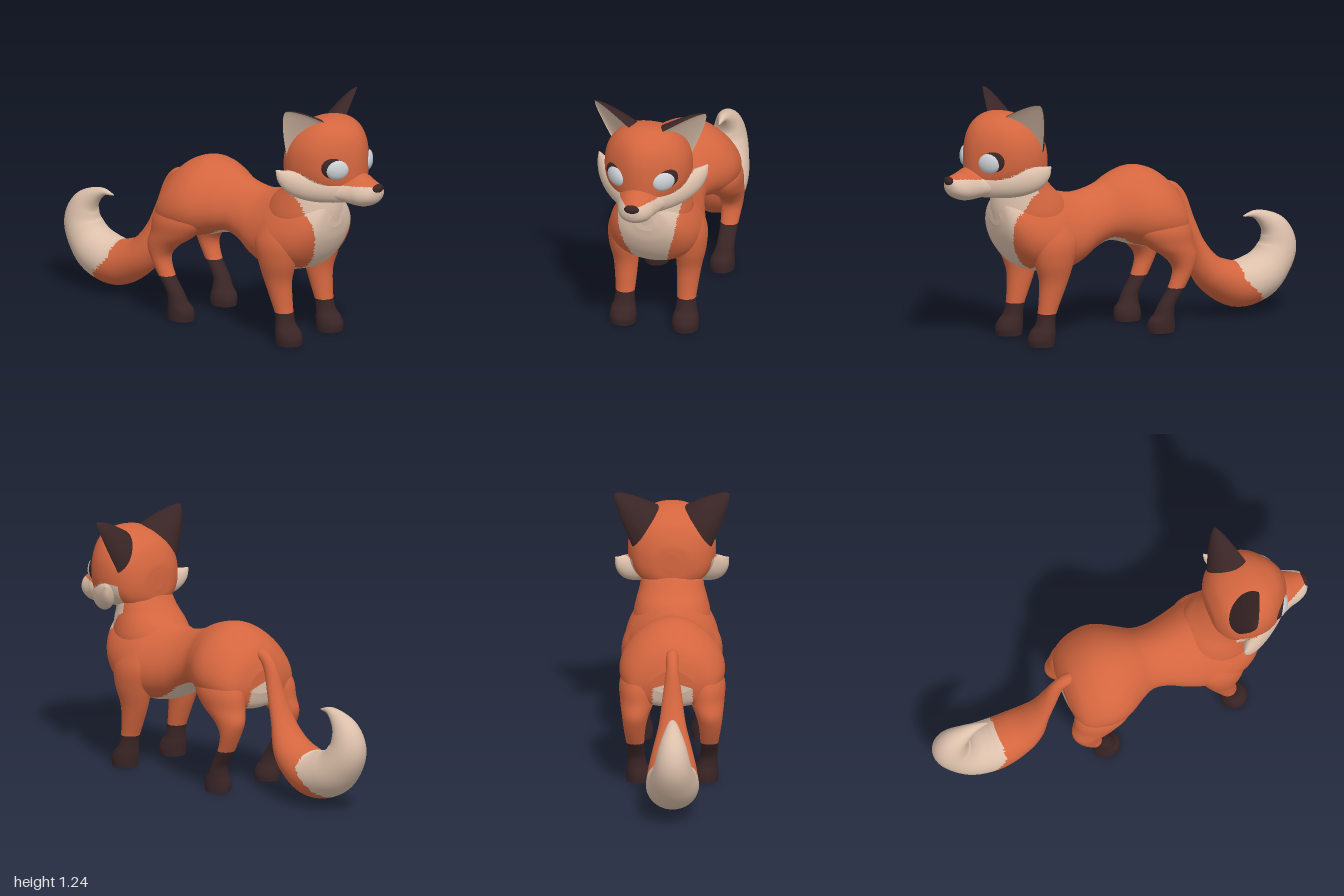
import * as THREE from 'three';

const V = (x, y, z) => new THREE.Vector3(x, y, z);
const mat = (name, color) => {
  const m = new THREE.MeshStandardMaterial({ color });
  m.name = name;
  return m;
};

// Grid surface: fn(u, v) gives points; pick(point) gives a material index for each face.
function surface(name, fn, nu, nv, { closed = true, mirror = 1, mats, pick = () => 0 }) {
  const pos = [], faces = mats.map(() => []);
  const cols = closed ? nu : nu + 1;
  const add = (p) => pos.push(p.x * mirror, p.y, p.z) / 3 - 1;
  const at = (i) => V(pos[i * 3], pos[i * 3 + 1], pos[i * 3 + 2]);
  const tri = (a, b, c) => {
    const mid = at(a).add(at(b)).add(at(c)).divideScalar(3);
    faces[pick(mid)].push(...(mirror > 0 ? [a, b, c] : [a, c, b]));
  };
  for (let i = 0; i <= nv; i++) for (let j = 0; j < cols; j++) add(fn(j / nu, i / nv));
  for (let i = 0; i < nv; i++) for (let j = 0; j < nu; j++) {
    const k = (j + 1) % cols, r = i * cols, s = r + cols;
    tri(r + j, r + k, s + k);
    tri(r + j, s + k, s + j);
  }
  if (closed) for (const end of [0, 1]) {
    const ring = [], centre = V(0, 0, 0);
    for (let j = 0; j < nu; j++) {
      const p = fn(j / nu, end);
      centre.addScaledVector(p, 1 / nu);
      ring.push(add(p));
    }
    const c = add(centre);
    ring.forEach((a, j) => {
      const b = ring[(j + 1) % nu];
      end ? tri(a, b, c) : tri(b, a, c);
    });
  }
  const geo = new THREE.BufferGeometry();
  geo.setAttribute('position', new THREE.Float32BufferAttribute(pos, 3));
  geo.setIndex(faces.flat());
  let start = 0;
  faces.forEach((f, i) => { if (f.length) geo.addGroup(start, f.length, i); start += f.length; });
  geo.computeVertexNormals();
  const mesh = new THREE.Mesh(geo, mats.length > 1 ? mats : mats[0]);
  mesh.name = name;
  return mesh;
}

// Smooth loft through rings [x, y, z, half size along ref, half size across]; egg narrows the top.
function loft(name, rings, opts) {
  const { ref = V(1, 0, 0), dir, power = 2, egg = 0, segs = 48 } = opts;
  const curve = (pts) => new THREE.CatmullRomCurve3(pts, false, 'catmullrom', 0.5);
  const path = curve(rings.map((r) => V(r[0], r[1], r[2])));
  const size = curve(rings.map((r) => V(r[3], r[4], 0)));
  const bend = (c) => Math.sign(c) * Math.pow(Math.abs(c), 2 / power);
  return surface(name, (u, v) => {
    const d = dir || path.getTangent(v), s = size.getPoint(v), a = u * Math.PI * 2;
    const r = ref.clone().addScaledVector(d, -ref.dot(d)).normalize();
    const t = d.clone().cross(r);
    return path.getPoint(v)
      .addScaledVector(r, bend(Math.cos(a)) * (1 - egg * Math.sin(a)) * Math.max(s.x, 0.002))
      .addScaledVector(t, bend(Math.sin(a)) * Math.max(s.y, 0.002));
  }, segs, (rings.length - 1) * 6, opts);
}

const acrossZ = ([z, top, bottom, w]) => [0, (top + bottom) / 2, z, w, (top - bottom) / 2];
const acrossY = ([y, front, back, w]) => [0, y, (front + back) / 2, w, (front - back) / 2];

export function createModel() {
  const model = new THREE.Group();
  model.name = 'fox';
  const orange = mat('orange fur', 0xd4663f), cream = mat('cream fur', 0xdcc0ab);
  const dark = mat('dark brown fur', 0x3a2526), eyeGrey = mat('eye grey', 0xccd0d4);
  const forward = V(0, 0, 1), down = V(0, -1, 0);

  // Torso and neck, with a cream bib and belly
  const bib = (p) => {
    const x = Math.abs(p.x);
    if (p.z > 0.56) return x < Math.min(0.08 + 0.3 * (p.y - 0.38), 0.14 + 0.1 * (p.y - 0.55)) ? 1 : 0;
    return p.y < 0.54 && x < (p.z > 0.03 ? 0.12 : 0.1) ? 1 : 0;
  };
  model.add(loft('torso', [
    [-0.305, 0.62, 0.5, 0.1], [-0.285, 0.68, 0.44, 0.18], [-0.25, 0.735, 0.415, 0.222],
    [-0.18, 0.79, 0.41, 0.25], [-0.1, 0.818, 0.415, 0.256], [-0.03, 0.815, 0.43, 0.238],
    [0.05, 0.79, 0.455, 0.192], [0.12, 0.755, 0.458, 0.16], [0.2, 0.73, 0.425, 0.163],
    [0.28, 0.72, 0.375, 0.187], [0.36, 0.735, 0.345, 0.21], [0.44, 0.76, 0.34, 0.228],
    [0.52, 0.775, 0.355, 0.228], [0.6, 0.78, 0.385, 0.21], [0.66, 0.77, 0.45, 0.175],
    [0.7, 0.74, 0.53, 0.12], [0.715, 0.68, 0.6, 0.05],
  ].map(acrossZ), { dir: forward, egg: 0.2, segs: 72, mats: [orange, cream], pick: bib }));
  model.add(loft('neck', [
    [0.9, 0.66, 0.51, 0.12], [0.84, 0.685, 0.468, 0.15], [0.78, 0.7, 0.42, 0.16],
    [0.72, 0.715, 0.36, 0.177], [0.66, 0.718, 0.33, 0.19], [0.58, 0.705, 0.32, 0.19],
    [0.5, 0.66, 0.33, 0.17], [0.44, 0.59, 0.36, 0.13],
  ].map(acrossY), { dir: down, segs: 72, mats: [orange, cream], pick: bib }));

  // Head and muzzle, cream below the cheek line
  const underMask = (p) => p.y < 0.86 + THREE.MathUtils.clamp((0.78 - p.z) * 0.45, 0, 0.055);
  const mask = (p) => (p.z > 0.56 && underMask(p) ? 1 : 0);
  model.add(loft('head', [
    [0.472, 0.97, 0.88, 0.04], [0.48, 1.02, 0.82, 0.105], [0.52, 1.1, 0.78, 0.172],
    [0.58, 1.145, 0.77, 0.207], [0.64, 1.165, 0.765, 0.218], [0.7, 1.172, 0.765, 0.212],
    [0.75, 1.163, 0.77, 0.192], [0.79, 1.145, 0.775, 0.16], [0.82, 1.125, 0.78, 0.128],
    [0.845, 1.095, 0.79, 0.095], [0.865, 1.05, 0.8, 0.06], [0.875, 1, 0.82, 0.035],
    [0.879, 0.95, 0.88, 0.01],
  ].map(acrossZ), { dir: forward, power: 2.3, egg: 0.05, segs: 72, mats: [orange, cream], pick: mask }));
  model.add(loft('muzzle', [
    [0.66, 0.87, 0.77, 0.15], [0.78, 0.885, 0.762, 0.14], [0.84, 0.9, 0.752, 0.115],
    [0.88, 0.905, 0.745, 0.097], [0.92, 0.887, 0.748, 0.085], [0.96, 0.873, 0.765, 0.067],
    [0.982, 0.865, 0.785, 0.045], [0.992, 0.845, 0.81, 0.015],
  ].map(acrossZ), { dir: forward, egg: 0.12, segs: 72, mats: [orange, cream], pick: mask }));

  const ball = (name, material, [x, y, z], [a, b, c], turn = 0, roll = 0) => {
    const mesh = new THREE.Mesh(new THREE.SphereGeometry(1, 32, 20), material);
    mesh.name = name;
    mesh.position.set(x, y, z);
    mesh.scale.set(a, b, c);
    mesh.rotation.set(0, turn, roll);
    model.add(mesh);
  };
  ball('nose', dark, [0, 0.848, 0.98], [0.038, 0.022, 0.02]);

  // Tail with a curled cream tip
  model.add(loft('tail', [
    [0, 0.69, -0.21, 0.025, 0.025], [0, 0.69, -0.285, 0.03, 0.028], [0, 0.63, -0.338, 0.032, 0.035],
    [0, 0.5, -0.383, 0.05, 0.038], [0, 0.38, -0.428, 0.068, 0.048], [0, 0.265, -0.485, 0.1, 0.08],
    [0, 0.2, -0.558, 0.119, 0.1], [0, 0.157, -0.67, 0.131, 0.117], [0, 0.185, -0.785, 0.128, 0.117],
    [0, 0.25, -0.862, 0.11, 0.104], [0, 0.33, -0.9, 0.09, 0.097], [0, 0.41, -0.885, 0.07, 0.075],
    [0, 0.465, -0.835, 0.045, 0.045], [0, 0.497, -0.77, 0.022, 0.02], [0, 0.493, -0.705, 0.003, 0.003],
  ], { mats: [orange, cream], pick: (p) => (-p.z > 0.65 + Math.max(0, 0.2 - p.y) ? 1 : 0) }));

  // Ear cup: half cone swept from a slanted base to the tip
  const earBase = V(0.15, 1.085, 0.635), earAxis = V(0.135, 0.155, -0.015);
  const earWide = V(0.058, -0.075, -0.072);
  const earDeep = earAxis.clone().cross(earWide).normalize();
  const earPoint = (angle, depth) => (u, v) => {
    const t = v * 1.25 - 0.25, s = Math.pow(Math.max(1 - t, 0.0005), 0.7), a = angle + u * Math.PI;
    return earBase.clone().addScaledVector(earAxis, t)
      .addScaledVector(earWide, Math.cos(a) * s)
      .addScaledVector(earDeep, Math.abs(Math.sin(a)) * depth * s);
  };

  for (const side of [1, -1]) {
    const label = side > 0 ? 'left' : 'right';
    const leg = (name, rings, sock) => model.add(loft(label + name, rings, {
      dir: down, mirror: side, segs: 36, mats: [orange, dark], pick: (p) => (p.y < sock ? 1 : 0),
    }));
    // Legs with dark socks and paws
    leg('FrontLeg', [
      [0.15, 0.62, 0.47, 0.055, 0.1], [0.173, 0.52, 0.47, 0.073, 0.122], [0.17, 0.42, 0.475, 0.076, 0.105],
      [0.162, 0.32, 0.475, 0.062, 0.076], [0.158, 0.22, 0.495, 0.053, 0.056], [0.157, 0.15, 0.512, 0.048, 0.046],
      [0.159, 0.1, 0.522, 0.053, 0.05], [0.16, 0.07, 0.535, 0.062, 0.063], [0.16, 0.035, 0.544, 0.067, 0.069],
      [0.16, 0, 0.544, 0.064, 0.066],
    ], 0.162);
    leg('HindLeg', [
      [0.145, 0.62, -0.13, 0.075, 0.12], [0.165, 0.52, -0.15, 0.096, 0.148], [0.172, 0.44, -0.185, 0.087, 0.126],
      [0.183, 0.375, -0.238, 0.068, 0.087], [0.187, 0.31, -0.25, 0.055, 0.053], [0.184, 0.22, -0.215, 0.045, 0.042],
      [0.18, 0.14, -0.165, 0.044, 0.042], [0.175, 0.09, -0.15, 0.05, 0.051], [0.17, 0.06, -0.14, 0.058, 0.066],
      [0.167, 0.03, -0.138, 0.062, 0.071], [0.167, 0, -0.138, 0.06, 0.068],
    ], 0.22);

    // Cheek ruff flowing from the muzzle
    model.add(loft(label + 'Cheek', [
      [0.04, 0.823, 0.845, 0.06, 0.04], [0.105, 0.828, 0.765, 0.068, 0.052], [0.165, 0.838, 0.69, 0.07, 0.053],
      [0.217, 0.86, 0.627, 0.062, 0.043], [0.253, 0.892, 0.585, 0.04, 0.026], [0.278, 0.927, 0.558, 0.004, 0.004],
    ], {
      ref: V(0, 1, 0), mirror: side, segs: 36, mats: [orange, cream],
      pick: (p) => (Math.abs(p.x) > 0.22 || underMask(p) ? 1 : 0),
    }));

    // Ears
    model.add(surface(label + 'EarBack', earPoint(0, 0.095), 24, 24, { closed: false, mirror: side, mats: [dark] }));
    model.add(surface(label + 'EarInner', earPoint(Math.PI, 0.02), 24, 24, { closed: false, mirror: side, mats: [cream] }));

    // Eyes with thin dark lids
    ball(label + 'Eye', eyeGrey, [side * 0.12, 0.942, 0.816], [0.061, 0.052, 0.029], side * 0.62, side * 0.15);
    ball(label + 'EyeLid', dark, [side * 0.126, 0.949, 0.806], [0.068, 0.056, 0.023], side * 0.62, side * 0.15);
  }
  return model;
}
